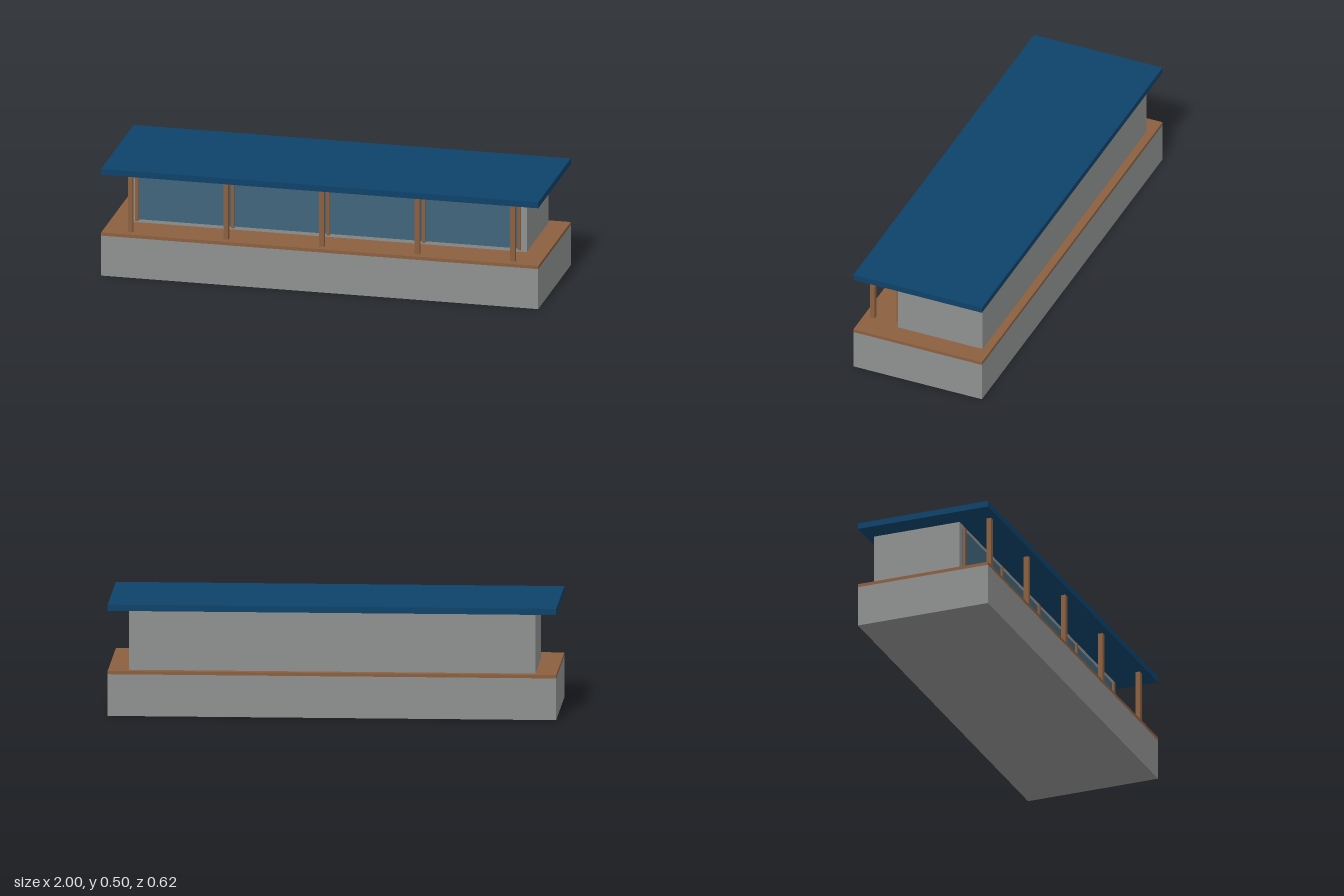
import * as THREE from 'three';

const material = (name, color) => {
  const m = new THREE.MeshStandardMaterial({ color });
  m.name = name;
  return m;
};

export function createModel() {
  const model = new THREE.Group();
  model.name = 'pavilion';

  const concrete = material('concrete grey', 0x8f9190);
  const wood = material('wood brown', 0x8b6040);
  const roofBlue = material('roof blue', 0x0e426a);
  const glassBlue = material('glass blue', 0x42657b);

  // Box given by its x centre and width, and its y and z limits
  const box = (name, mat, x, width, y0, y1, z0, z1) => {
    const mesh = new THREE.Mesh(new THREE.BoxGeometry(width, y1 - y0, z1 - z0), mat);
    mesh.position.set(x, (y0 + y1) / 2, (z0 + z1) / 2);
    mesh.name = name;
    model.add(mesh);
  };

  // Plinth and timber deck
  box('plinth', concrete, 0, 2, 0, 0.188, -0.3125, 0.3125);
  box('deck', wood, 0, 2, 0.188, 0.203, -0.3125, 0.3125);

  // Enclosed hall with a glazed front
  box('hall', concrete, 0, 1.812, 0.203, 0.47, -0.275, 0.1375);
  box('glazing', glassBlue, 0, 1.75, 0.22, 0.445, 0.1375, 0.145);

  // Veranda posts, with a window mullion behind each
  for (let i = -2; i <= 2; i++) {
    const x = i * 0.4375;
    box('post', wood, x, 0.022, 0.203, 0.474, 0.259, 0.281);
    box('mullion', wood, x, 0.014, 0.215, 0.45, 0.145, 0.155);
  }

  // Flat overhanging roof
  box('roof', roofBlue, 0, 2, 0.474, 0.502, -0.3125, 0.3125);

  return model;
}
